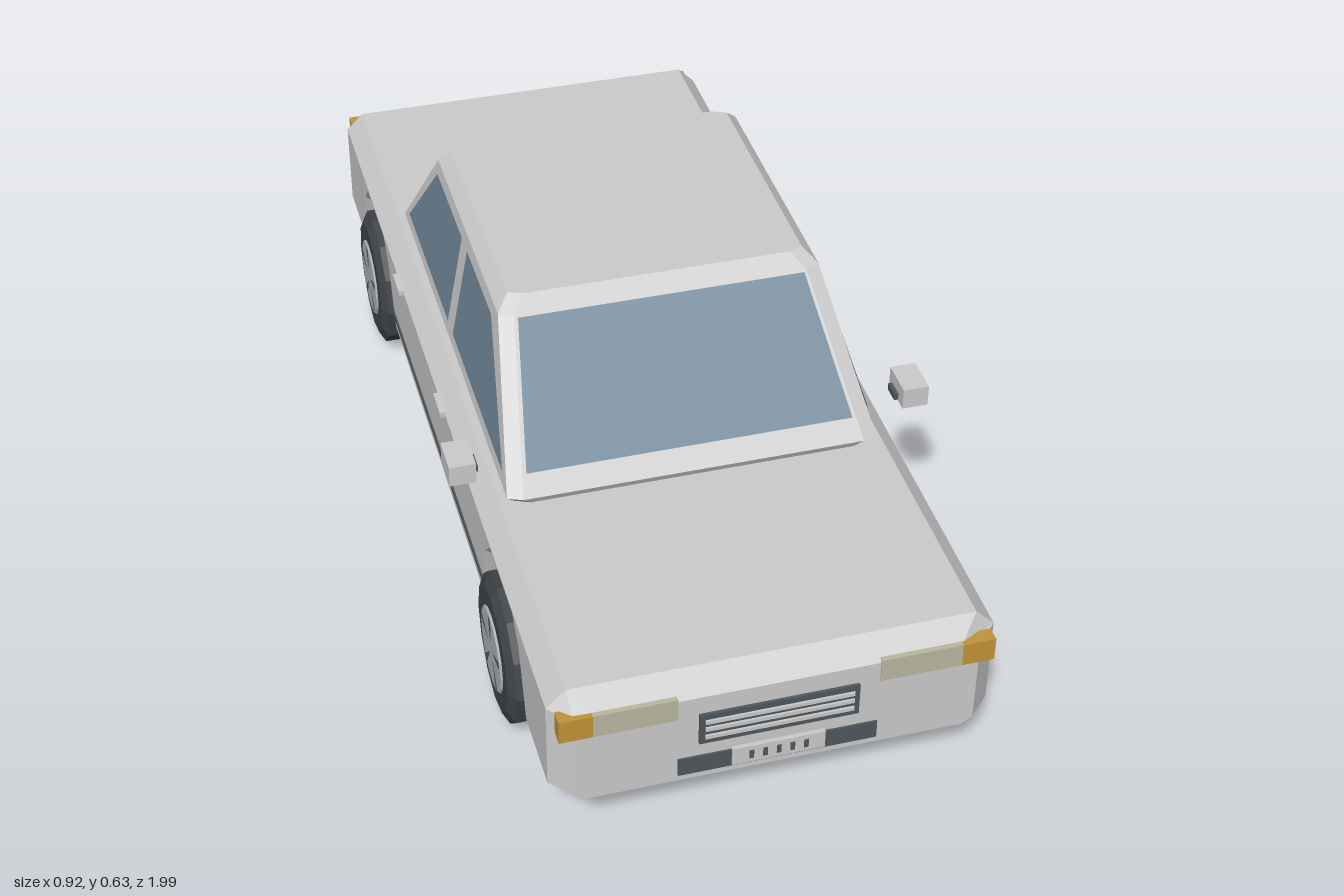
import * as THREE from 'three';

const mat = (color, side = THREE.FrontSide) =>
  new THREE.MeshStandardMaterial({ color, side, flatShading: true });
const GREY = mat(0xcccccc), DARK = mat(0x4f585e), TYRE = mat(0x41464b), RIM = mat(0xb0b5b9);
const AMBER = mat(0xc09438), RED = mat(0x9c5054), LAMP = mat(0xbab8a0);
const GLASS = mat(0x6f8698, THREE.DoubleSide);

function add(parent, name, geo, material) {
  const m = new THREE.Mesh(geo, material);
  m.name = name;
  parent.add(m);
  return m;
}

// Box given by its min and max on each axis
function box(parent, name, material, [x0, x1], [y0, y1], [z0, z1]) {
  const m = add(parent, name, new THREE.BoxGeometry(x1 - x0, y1 - y0, z1 - z0), material);
  m.position.set((x0 + x1) / 2, (y0 + y1) / 2, (z0 + z1) / 2);
  return m;
}

// Faceted skin over rings of equal length, capped at both ends
function loft(rings) {
  const pos = [], n = rings[0].length, last = rings.length - 1;
  const tri = (a, b, c) => pos.push(...a, ...b, ...c);
  for (let i = 0; i < last; i++) {
    for (let j = 0; j < n; j++) {
      const k = (j + 1) % n, a = rings[i][j], b = rings[i][k], c = rings[i + 1][k], d = rings[i + 1][j];
      tri(a, b, c);
      tri(a, c, d);
    }
  }
  for (let j = 1; j < n - 1; j++) {
    tri(rings[0][0], rings[0][j + 1], rings[0][j]);
    tri(rings[last][0], rings[last][j], rings[last][j + 1]);
  }
  const g = new THREE.BufferGeometry();
  g.setAttribute('position', new THREE.Float32BufferAttribute(pos, 3));
  g.computeVertexNormals();
  return g;
}

// Flat window pane from four corners
function pane(parent, name, a, b, c, d) {
  const g = new THREE.BufferGeometry();
  g.setAttribute('position', new THREE.Float32BufferAttribute([...a, ...b, ...c, ...a, ...c, ...d], 3));
  g.computeVertexNormals();
  add(parent, name, g, GLASS);
}

const AXLE = 0.605, WHEEL_R = 0.145;

// Cross-section of the lower body; arch is the underside height of the flank
function bodySection(z, arch = 0.12, hx = 0.405, shoulder = 0.315, top = 0.35) {
  const half = [[0.32, 0.12], [0.32, arch], [hx - 0.02, arch], [hx, arch + 0.015], [hx, shoulder], [hx - 0.035, top]];
  const other = half.map(([x, y]) => [-x, y]).reverse();
  return [...half, ...other].map(([x, y]) => [x, y, z]);
}

function bodyGeometry() {
  const arch = [[-0.18, 0.12], [-0.135, 0.25], [-0.09, 0.295], [0.09, 0.295], [0.135, 0.25], [0.18, 0.12]];
  const end = z => bodySection(z, 0.12, 0.365, 0.31, 0.311);
  return loft([
    end(-0.985), bodySection(-0.945),
    ...arch.map(([dz, y]) => bodySection(-AXLE + dz, y)),
    ...arch.map(([dz, y]) => bodySection(AXLE + dz, y)),
    bodySection(0.945), end(0.985),
  ]);
}

// Horizontal cabin outline with cut corners
function cabinRing(y, hx, zf, zr) {
  const c = 0.028, d = 0.012;
  return [[hx, zf - d], [hx, zr + d], [hx - c, zr], [c - hx, zr], [-hx, zr + d], [-hx, zf - d], [c - hx, zf], [hx - c, zf]]
    .map(([x, z]) => [x, y, z]);
}

function buildCabin() {
  const g = new THREE.Group();
  g.name = 'cabin';
  add(g, 'cabinShell', loft([
    cabinRing(0.345, 0.335, 0.455, -0.51),
    cabinRing(0.365, 0.357, 0.465, -0.52),
    cabinRing(0.605, 0.312, 0.225, -0.34),
    cabinRing(0.63, 0.287, 0.195, -0.322),
  ]), GREY);

  const frontZ = y => 0.469 - (y - 0.365), rearZ = y => -0.524 + 0.75 * (y - 0.365);
  pane(g, 'windscreen', [-0.315, 0.4, frontZ(0.4)], [0.315, 0.4, frontZ(0.4)],
    [0.278, 0.603, frontZ(0.603)], [-0.278, 0.603, frontZ(0.603)]);
  pane(g, 'rearWindow', [0.315, 0.395, rearZ(0.395)], [-0.315, 0.395, rearZ(0.395)],
    [-0.28, 0.58, rearZ(0.58)], [0.28, 0.58, rearZ(0.58)]);

  const lo = 0.395, hi = 0.587, sideX = y => 0.361 - 0.1875 * (y - 0.365);
  for (const s of [1, -1]) {
    const side = (name, z0, z1, z2, z3) => pane(g, name,
      [s * sideX(lo), lo, z0], [s * sideX(lo), lo, z1], [s * sideX(hi), hi, z2], [s * sideX(hi), hi, z3]);
    side('frontSideWindow', 0.41, -0.025, -0.025, 0.185);
    side('rearSideWindow', -0.072, -0.46, -0.305, -0.072);
  }
  return g;
}

// Wheel facing +x
function buildWheel() {
  const g = new THREE.Group();
  g.name = 'wheel';
  const profile = [[0, -0.0425], [0.122, -0.0425], [WHEEL_R, -0.03], [WHEEL_R, 0.03], [0.122, 0.0425], [0, 0.0425]];
  const tyre = new THREE.LatheGeometry(profile.map(p => new THREE.Vector2(...p)), 12);
  add(g, 'tyre', tyre.rotateZ(-Math.PI / 2), TYRE);
  const rim = new THREE.CylinderGeometry(0.08, 0.085, 0.006, 16);
  add(g, 'rim', rim.rotateZ(-Math.PI / 2), RIM).position.x = 0.0435;
  // Narrow wedge openings between the spokes
  const slot = new THREE.CylinderGeometry(0.01, 0.003, 0.05, 4, 1).rotateY(Math.PI / 4);
  slot.scale(0.2, 1, 1).translate(0, 0.05, 0);
  for (let i = 0; i < 5; i++) {
    add(g, 'rimSlot', slot, DARK).position.x = 0.0462;
    g.children.at(-1).rotation.x = (i * Math.PI * 2) / 5;
  }
  return g;
}

// Number plate with blank raised marks, on the end facing dir
function buildPlate(parent, dir, z) {
  const span = (a, b) => (dir > 0 ? [z + a, z + b] : [-z - b, -z - a]);
  box(parent, 'plate', GREY, [-0.085, 0.085], [0.14, 0.178], span(-0.01, 0.005));
  for (let i = -2; i <= 2; i++) {
    box(parent, 'plateMark', DARK, [i * 0.025 - 0.004, i * 0.025 + 0.004], [0.15, 0.168], span(0, 0.007));
  }
}

export function createModel() {
  const car = new THREE.Group();
  car.name = 'car';
  add(car, 'body', bodyGeometry(), GREY);
  car.add(buildCabin());

  // Grille, intake and plates
  box(car, 'grille', DARK, [-0.145, 0.145], [0.205, 0.273], [0.975, 0.991]);
  for (const y of [0.222, 0.24, 0.257]) {
    box(car, 'grilleBar', GREY, [-0.135, 0.135], [y - 0.004, y + 0.004], [0.98, 0.995]);
  }
  box(car, 'lowerIntake', DARK, [-0.182, 0.182], [0.135, 0.173], [0.975, 0.989]);
  buildPlate(car, 1, 0.988);
  buildPlate(car, -1, 0.986);

  for (const s of [1, -1]) {
    const mx = (a, b) => (s > 0 ? [a, b] : [-b, -a]);
    // Lamps
    box(car, 'headlight', LAMP, mx(0.183, 0.333), [0.27, 0.318], [0.96, 0.988]);
    box(car, 'frontIndicator', AMBER, mx(0.333, 0.393), [0.27, 0.318], [0.96, 0.988]);
    box(car, 'tailLight', RED, mx(0.183, 0.34), [0.27, 0.318], [-0.988, -0.96]);
    box(car, 'rearIndicator', AMBER, mx(0.34, 0.393), [0.27, 0.318], [-0.988, -0.96]);
    // Mirrors
    box(car, 'mirror', GREY, mx(0.41, 0.46), [0.41, 0.453], [0.37, 0.445]);
    box(car, 'mirrorStalk', DARK, mx(0.402, 0.412), [0.413, 0.427], [0.385, 0.42]);
    // Flank details
    box(car, 'sideTrim', DARK, mx(0.4, 0.408), [0.162, 0.174], [-0.435, 0.435]);
    for (const z of [0.055, -0.36]) {
      box(car, 'doorHandle', GREY, mx(0.4, 0.415), [0.309, 0.32], [z, z + 0.065]);
    }
    // Wheels
    for (const z of [AXLE, -AXLE]) {
      const w = buildWheel();
      w.position.set(s * 0.3825, WHEEL_R, z);
      if (s < 0) w.rotation.y = Math.PI;
      car.add(w);
    }
  }
  return car;
}
